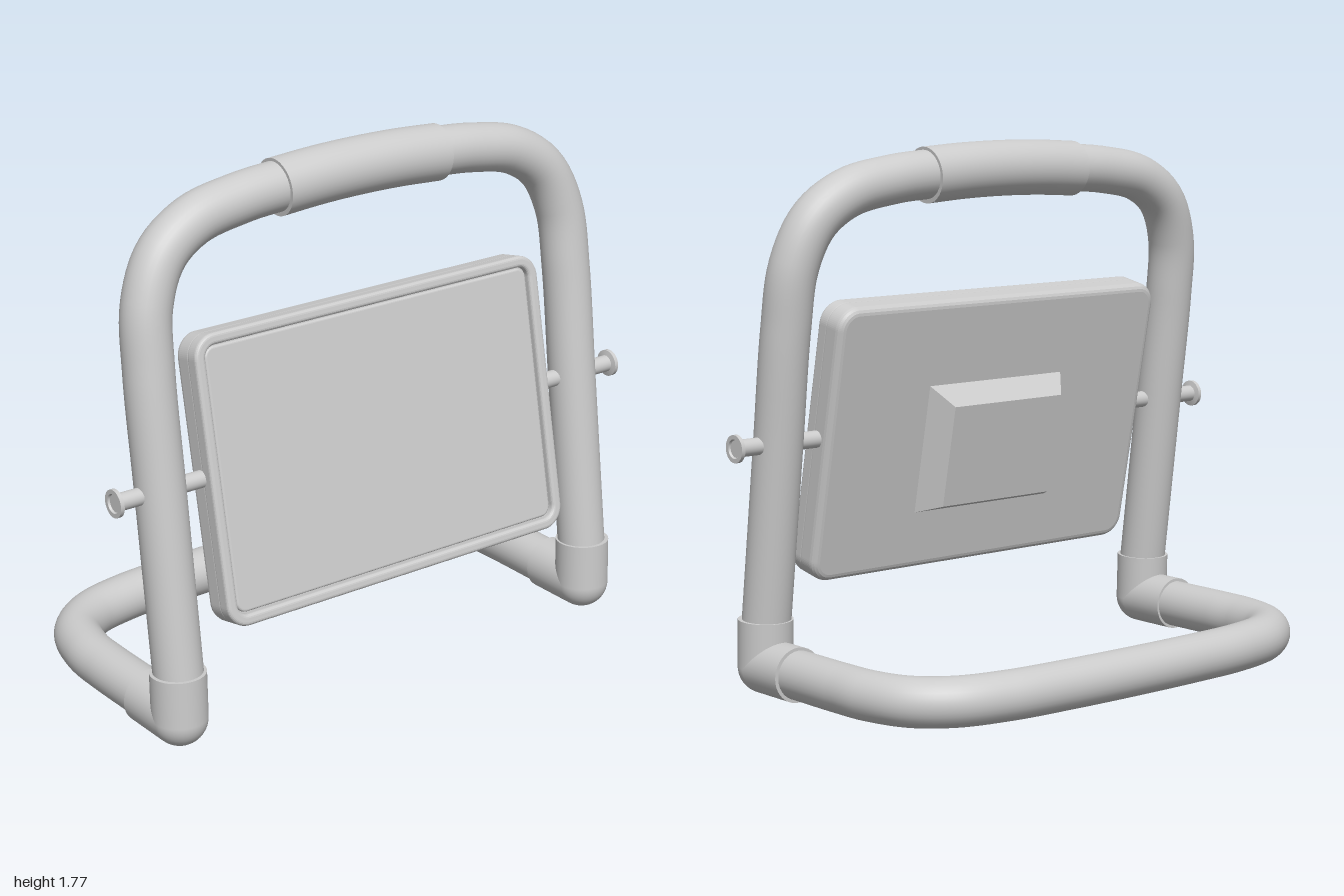
import * as THREE from 'three';

const material = new THREE.MeshStandardMaterial({ color: 0xcccccc });
const V = (x, y, z) => new THREE.Vector3(x, y, z);

function add(parent, name, geometry) {
  const mesh = new THREE.Mesh(geometry, material);
  mesh.name = name;
  parent.add(mesh);
  return mesh;
}

// Half of a symmetric path (from +z to the middle) is mirrored to -z
function mirroredCurve(half) {
  const other = half.slice(0, -1).reverse().map(p => V(p.x, p.y, -p.z));
  return new THREE.CatmullRomCurve3([...half, ...other]);
}

// Closed cylinder between two points
function rod(parent, name, a, b, r) {
  const dir = b.clone().sub(a);
  const mesh = add(parent, name, new THREE.CylinderGeometry(r, r, dir.length(), 40));
  mesh.position.copy(a).add(b).multiplyScalar(0.5);
  mesh.quaternion.setFromUnitVectors(V(0, 1, 0), dir.normalize());
  return mesh;
}

function roundedRect(C, w, h, r) {
  const s = new C();
  s.moveTo(w - r, -h);
  s.absarc(w - r, -h + r, r, -Math.PI / 2, 0);
  s.absarc(w - r, h - r, r, 0, Math.PI / 2);
  s.absarc(-w + r, h - r, r, Math.PI / 2, Math.PI);
  s.absarc(-w + r, -h + r, r, Math.PI, Math.PI * 1.5);
  s.closePath();
  return s;
}

// Slab lying in the y-z plane, running from x0 to x1 with softened edges
function slab(shape, x0, x1, bevel) {
  const g = new THREE.ExtrudeGeometry(shape, {
    depth: x1 - x0 - 2 * bevel, bevelThickness: bevel, bevelSize: bevel,
    bevelOffset: -bevel, bevelSegments: 4, curveSegments: 10,
  });
  return g.translate(0, 0, x0 + bevel).rotateY(Math.PI / 2);
}

export function createModel() {
  const model = new THREE.Group();
  model.name = 'floodlightOnStand';

  // Leaning handle frame
  const lean = y => 0.33 - 0.133 * (y - 0.83);
  const onFrame = ([z, y]) => V(lean(y), y, z);
  const handle = mirroredCurve([
    [0.83, 0.15], [0.83, 0.5], [0.83, 0.85], [0.83, 1.2], [0.815, 1.4], [0.75, 1.54],
    [0.63, 1.622], [0.46, 1.658], [0.3, 1.671], [0, 1.68],
  ].map(onFrame));
  add(model, 'handleFrame', new THREE.TubeGeometry(handle, 160, 0.08, 32));

  // Grip sleeve with closed ends
  const gripCurve = mirroredCurve([[0.315, 1.668], [0.16, 1.677], [0, 1.68]].map(onFrame));
  add(model, 'grip', new THREE.TubeGeometry(gripCurve, 32, 0.092, 40));
  for (const t of [0, 1]) {
    const cap = add(model, 'gripEnd', new THREE.CircleGeometry(0.092, 40));
    cap.position.copy(gripCurve.getPointAt(t));
    cap.quaternion.setFromUnitVectors(V(0, 0, 1), gripCurve.getTangentAt(t).multiplyScalar(t ? 1 : -1));
  }

  // Floor loop
  const base = mirroredCurve([
    [0.38, 0.83], [0.2, 0.83], [0, 0.83], [-0.13, 0.822], [-0.27, 0.775],
    [-0.36, 0.67], [-0.405, 0.5], [-0.42, 0.28], [-0.425, 0],
  ].map(([x, z]) => V(x, 0.094, z)));
  add(model, 'baseLoop', new THREE.TubeGeometry(base, 140, 0.08, 32));

  // Elbows joining handle and floor loop
  for (const side of [1, -1]) {
    const elbow = new THREE.Group();
    elbow.name = 'elbow';
    model.add(elbow);
    const z = 0.832 * side, corner = V(0.415, 0.094, z), r = 0.09;
    rod(elbow, 'elbowFootSleeve', V(0.235, 0.094, z), corner, r);
    rod(elbow, 'elbowUprightSleeve', corner, V(0.41, 0.25, z), r);
    add(elbow, 'elbowCorner', new THREE.SphereGeometry(r, 40, 24)).position.copy(corner);

    // Pivot pin with a flared, dished head
    const pin = add(model, 'pivotPin', new THREE.LatheGeometry([
      [0, 0.64], [0.028, 0.64], [0.028, 0.64], [0.028, 0.983], [0.028, 0.983], [0.045, 0.987],
      [0.045, 0.987], [0.045, 1], [0.045, 1], [0.031, 1], [0.031, 1], [0.028, 0.993],
      [0.028, 0.993], [0, 0.993],
    ].map(p => new THREE.Vector2(...p)), 32));
    pin.rotation.x = side * Math.PI / 2;
    pin.position.set(0.33, 0.83, 0);
  }

  // Lamp head, tilted a little further back than the frame
  const lamp = new THREE.Group();
  lamp.name = 'lampHead';
  lamp.position.set(0.333, 0.813, 0);
  lamp.rotation.z = 0.2;
  model.add(lamp);

  add(lamp, 'housing', slab(roundedRect(THREE.Shape, 0.68, 0.465, 0.075), -0.06, 0.035, 0.025));
  const rim = roundedRect(THREE.Shape, 0.68, 0.465, 0.075);
  rim.holes.push(roundedRect(THREE.Path, 0.643, 0.428, 0.04));
  add(lamp, 'rim', slab(rim, 0.005, 0.06, 0.012));
  add(lamp, 'glass', slab(roundedRect(THREE.Shape, 0.638, 0.423, 0.035), 0.02, 0.046, 0.008));

  // Driver box on the back: a tapered block with a long sloping top
  const box = new THREE.BoxGeometry(1, 1, 1).toNonIndexed();
  const p = box.attributes.position;
  for (let i = 0; i < p.count; i++) {
    const outer = p.getX(i) < 0, top = p.getY(i) > 0;
    const y = top ? (outer ? 0.125 : 0.185) : (outer ? -0.222 : -0.268);
    p.setXYZ(i, outer ? -0.138 : -0.05, y, Math.sign(p.getZ(i)) * (outer ? 0.23 : 0.29));
  }
  box.computeVertexNormals();
  add(lamp, 'driverBox', box);

  return model;
}
